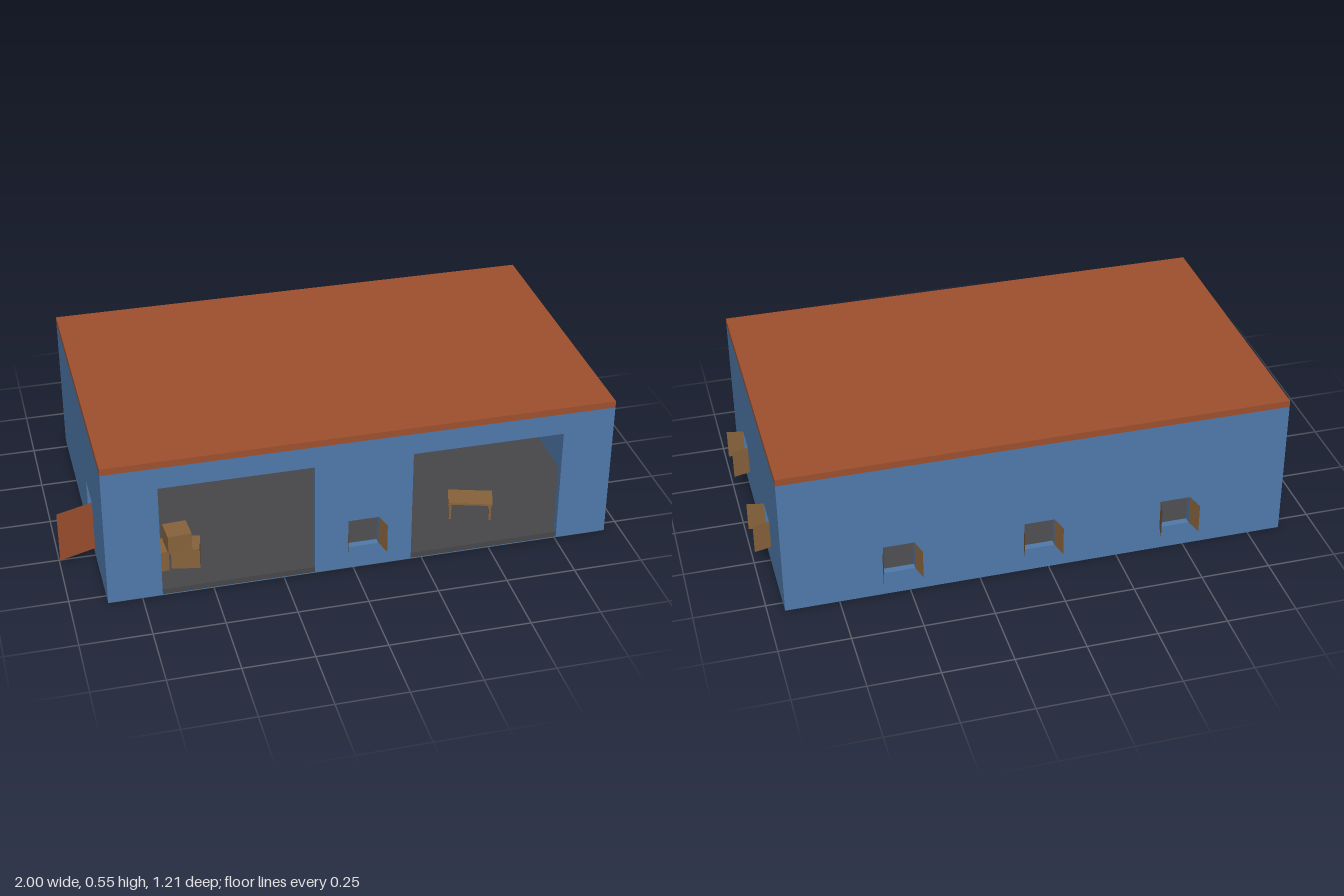
import * as THREE from 'three';

const mat = (name, color) => {
  const m = new THREE.MeshStandardMaterial({ color });
  m.name = name;
  return m;
};

export function createModel() {
  const model = new THREE.Group();
  model.name = 'building';
  const blue = mat('wall blue', 0x4f7aaa);
  const rust = mat('roof rust', 0x9e502e);
  const wood = mat('wood brown', 0x87623b);
  const grey = mat('floor grey', 0x47474a);
  rust.side = wood.side = THREE.DoubleSide;

  const X0 = -0.87, X1 = 0.94, Z = 0.545, H = 0.52, T = 0.025;

  const add = (parent, name, geo, material, x = 0, y = 0, z = 0, ry = 0) => {
    const m = new THREE.Mesh(geo, material);
    m.name = name;
    m.position.set(x, y, z);
    m.rotation.y = ry;
    parent.add(m);
    return m;
  };
  // box given by its ranges on the three axes
  const block = (parent, name, material, x0, x1, y0, y1, z0, z1) =>
    add(parent, name, new THREE.BoxGeometry(x1 - x0, y1 - y0, z1 - z0), material,
      (x0 + x1) / 2, (y0 + y1) / 2, (z0 + z1) / 2);
  const rect = (P, a, b, c, d) => {
    const p = new P();
    p.moveTo(a, c); p.lineTo(b, c); p.lineTo(b, d); p.lineTo(a, d); p.closePath();
    return p;
  };
  // wall panel with rectangular holes [from, to, bottom, top]
  const wall = (a, b, bottom, holes) => {
    const s = rect(THREE.Shape, a, b, bottom, H);
    holes.forEach(h => s.holes.push(rect(THREE.Path, ...h)));
    return new THREE.ExtrudeGeometry(s, { depth: T, bevelEnabled: false });
  };
  const WIN = 0.055, W0 = 0.09, W1 = 0.2;
  const win = c => [c - WIN, c + WIN, W0, W1];
  const backWindows = [-0.465, 0.035, 0.535];
  const sideWindows = [-0.238, 0.238];

  // walls
  add(model, 'frontWall', wall(X0, X1, 0.002,
    [[-0.68, -0.14, 0.004, 0.44], [0.21, 0.755, 0.004, 0.44], win(0.035)]), blue, 0, 0, Z - T);
  add(model, 'backWall', wall(X0, X1, 0, backWindows.map(win)), blue, 0, 0, -Z);
  add(model, 'rightEndWall', wall(T - Z, Z - T, 0, sideWindows.map(win)), blue, X1, 0, 0, -Math.PI / 2);
  add(model, 'doorWall', wall(T - Z, Z - T, 0.002, [[0.11, 0.25, 0.025, 0.225]]), blue, X0 + T, 0, 0, -Math.PI / 2);

  // floor and roof
  block(model, 'floor', grey, X0 + 0.001, X1 - T, 0, 0.025, T - Z, Z - 0.001);
  block(model, 'roof', rust, X0, X1, H, 0.545, -Z, Z);

  // pairs of open shutters, splayed outwards
  const shutters = (x, z, ry) => {
    const g = new THREE.Group();
    g.name = 'windowShutters';
    g.position.set(x, (W0 + W1) / 2, z);
    g.rotation.y = ry;
    for (const s of [-1, 1]) {
      add(g, 'shutter', new THREE.PlaneGeometry(Math.hypot(0.06, 0.015), W1 - W0), wood,
        s * (WIN + 0.0075), 0, 0.03, -s * Math.atan2(0.06, 0.015));
    }
    model.add(g);
  };
  shutters(0.035, Z, 0);
  backWindows.forEach(x => shutters(x, -Z, Math.PI));
  sideWindows.forEach(z => shutters(X1, z, Math.PI / 2));

  // open door
  add(model, 'door', new THREE.PlaneGeometry(Math.hypot(0.13, 0.045), 0.195), rust,
    -0.935, 0.1275, 0.2725, Math.atan2(0.045, 0.13));

  // crates: [x, bottom, z, width, height, turn]
  const crates = [
    [-0.68, 0.025, 0.4, 0.08, 0.08, 0.1],
    [-0.57, 0.025, 0.4, 0.1, 0.08, -0.2],
    [-0.6, 0.105, 0.41, 0.085, 0.07, 0.06],
    [-0.015, 0.025, 0.25, 0.08, 0.08, 0.1],
    [0.068, 0.025, 0.25, 0.078, 0.08, -0.08],
    [0.64, 0.025, -0.265, 0.075, 0.08, 0.08],
    [0.733, 0.025, -0.265, 0.08, 0.08, -0.08],
    [0.825, 0.025, -0.29, 0.08, 0.08, 0.06],
    [0.802, 0.105, -0.3, 0.08, 0.07, 0],
  ];
  crates.forEach(([x, y, z, w, h, turn]) =>
    add(model, 'crate', new THREE.BoxGeometry(w, h, 0.085), wood, x, y + h / 2, z, turn));

  // table
  const table = new THREE.Group();
  table.name = 'table';
  table.position.set(0.49, 0, 0.355);
  table.rotation.y = -0.3;
  block(table, 'tableTop', wood, -0.08, 0.08, 0.089, 0.096, -0.045, 0.045);
  for (const sx of [-1, 1]) for (const sz of [-1, 1]) {
    add(table, 'tableLeg', new THREE.BoxGeometry(0.008, 0.064, 0.008), wood, sx * 0.072, 0.057, sz * 0.037);
  }
  model.add(table);

  return model;
}
